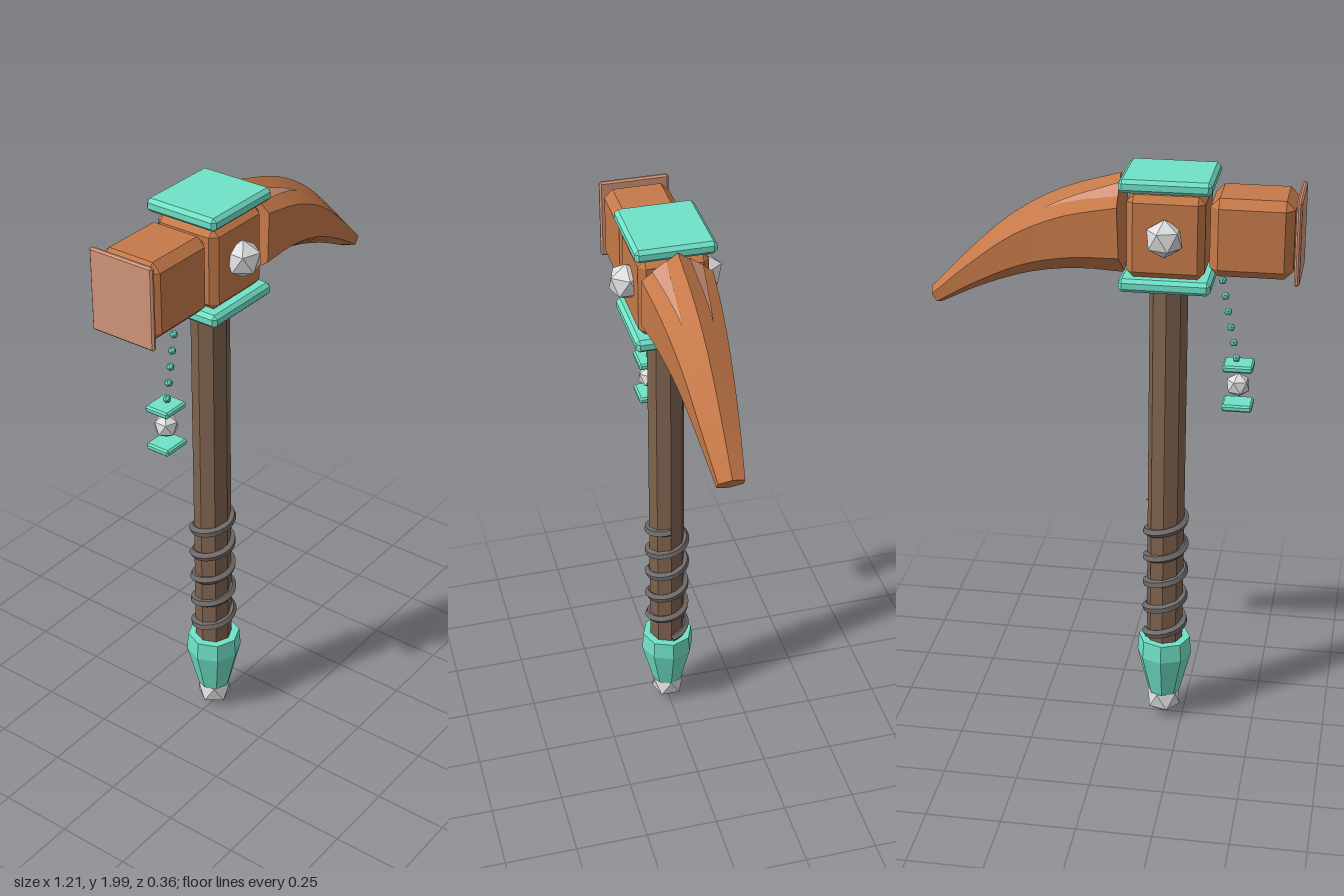
import * as THREE from 'three';
import { toCreasedNormals } from 'three/addons/utils/BufferGeometryUtils.js';
import { ConvexGeometry } from 'three/addons/geometries/ConvexGeometry.js';

const mat = (name, color, flat = true) => {
  const m = new THREE.MeshStandardMaterial({ color, flatShading: flat });
  m.name = name;
  return m;
};

// Box with every edge chamfered by c
function chamferBox(w, h, d, c) {
  const pts = [];
  for (const sx of [-1, 1]) for (const sy of [-1, 1]) for (const sz of [-1, 1]) {
    const x = w / 2, y = h / 2, z = d / 2;
    pts.push(new THREE.Vector3(sx * x, sy * (y - c), sz * (z - c)));
    pts.push(new THREE.Vector3(sx * (x - c), sy * y, sz * (z - c)));
    pts.push(new THREE.Vector3(sx * (x - c), sy * (y - c), sz * z));
  }
  return new ConvexGeometry(pts);
}

// Icosahedron standing on one of its points
const gemGeometry = r => new THREE.IcosahedronGeometry(r, 0).rotateZ(-Math.atan(2 / (1 + Math.sqrt(5))));

function indexed(pos, idx) {
  const g = new THREE.BufferGeometry();
  g.setAttribute('position', new THREE.Float32BufferAttribute(pos, 3));
  g.setIndex(idx);
  g.computeVertexNormals();
  return g;
}

// Upper and lower outline of the curved spike
const curve = a => new THREE.CatmullRomCurve3(a.map(p => new THREE.Vector3(p[0], p[1], 0)));
const spikeTop = curve([[-0.025, 1.987], [0.16, 1.93], [0.325, 1.838], [0.484, 1.697], [0.605, 1.571]]);
const spikeLow = curve([[-0.038, 1.655], [0.114, 1.66], [0.27, 1.64], [0.43, 1.587], [0.572, 1.52]]);

// Point on the spike: u along it, t from top to bottom, s times the half width
function spikePoint(u, t, s) {
  const p = spikeTop.getPoint(u).lerp(spikeLow.getPoint(u), t);
  p.z = s * THREE.MathUtils.lerp(0.115, 0.042, u);
  return p;
}

// Hexagonal sections joined along the spike, with end caps
function spikeGeometry() {
  const n = 12, pos = [], idx = [];
  for (let i = 0; i <= n; i++)
    for (const [t, s] of [[0, 0], [0.25, 1], [0.75, 1], [1, 0], [0.75, -1], [0.25, -1]])
      pos.push(...spikePoint(i / n, t, s).toArray());
  for (let i = 0; i < n; i++) for (let j = 0; j < 6; j++) {
    const a = i * 6 + j, b = i * 6 + (j + 1) % 6;
    idx.push(a, b, a + 6, b, b + 6, a + 6);
  }
  const e = n * 6;
  for (let j = 1; j < 5; j++) {
    idx.push(0, j + 1, j);
    idx.push(e, e + j, e + j + 1);
  }
  return toCreasedNormals(indexed(pos, idx), 0.4);
}

// Worn pale streak on an upper face of the spike, tapering from the root
function streakGeometry(side) {
  const n = 4, pos = [], idx = [];
  for (let i = 0; i <= n; i++) {
    const k = i / n;
    for (const f of [THREE.MathUtils.lerp(0.3, 0.5, k), THREE.MathUtils.lerp(0.7, 0.52, k)]) {
      const p = spikePoint(k * n / 12, f * 0.25, side * f);
      pos.push(p.x + 0.001, p.y + 0.003, p.z + side * 0.002);
    }
    if (i < n) {
      const a = i * 2;
      if (side > 0) idx.push(a, a + 1, a + 2, a + 1, a + 3, a + 2);
      else idx.push(a, a + 2, a + 1, a + 1, a + 2, a + 3);
    }
  }
  return indexed(pos, idx);
}

export function createModel() {
  const copper = mat('copper', 0xc67949);
  const copperSmooth = copper.clone();
  copperSmooth.flatShading = false;
  const paleCopper = mat('pale copper', 0xd2967a);
  const teal = mat('teal', 0x70e2c8);
  const wood = mat('dark wood', 0x7e624e);
  const wire = mat('dark wire', 0x6e6a69);
  const silver = mat('silver', 0xdedede);

  const model = new THREE.Group();
  model.name = 'hammerPick';
  const add = (name, geo, material, x, y, z = 0) => {
    const m = new THREE.Mesh(geo, material);
    m.name = name;
    m.position.set(x, y, z);
    model.add(m);
    return m;
  };
  const cx = -0.182;

  // Handle
  add('shaft', new THREE.CylinderGeometry(0.063, 0.063, 1.4, 8), wood, cx, 0.95);

  // Spiral grip wire
  const helix = [];
  const turns = 5, steps = 80;
  for (let i = 0; i <= steps; i++) {
    const t = i / steps, a = Math.PI / 2 + t * turns * Math.PI * 2;
    helix.push(new THREE.Vector3(Math.sin(a) * 0.065, 0.333 + 0.493 * t, Math.cos(a) * 0.065));
  }
  add('gripWire', new THREE.TubeGeometry(new THREE.CatmullRomCurve3(helix), 120, 0.015, 5), wire, cx, 0);

  // Tapered cuff and pommel
  const cuff = [[0, 0.1], [0.056, 0.1], [0.095, 0.255], [0.09, 0.318], [0, 0.318]];
  add('cuff', new THREE.LatheGeometry(cuff.map(p => new THREE.Vector2(...p)), 8), teal, cx, 0);
  add('pommelGem', gemGeometry(0.064), silver, cx, 0.07);

  // Head block between two plates
  add('headBlock', chamferBox(0.25, 0.27, 0.23, 0.022), copper, cx, 1.81);
  for (const [name, y] of [['lowerPlate', 1.653], ['upperPlate', 1.978]])
    add(name, chamferBox(0.295, 0.044, 0.264, 0.012), teal, cx, y);
  for (const s of [-1, 1])
    add(s > 0 ? 'frontGem' : 'backGem', gemGeometry(0.063), silver, cx, 1.816, s * 0.128);

  // Hammer end
  add('hammerBlock', chamferBox(0.265, 0.255, 0.22, 0.028), copper, -0.453, 1.815);
  add('hammerFace', chamferBox(0.018, 0.275, 0.236, 0.006), paleCopper, -0.599, 1.815);

  // Curved pick with worn streaks
  add('pickSpike', spikeGeometry(), copperSmooth, 0, 0);
  for (const s of [-1, 1]) add('wornStreak', streakGeometry(s), paleCopper, 0, 0);

  // Hanging charm
  for (let i = 0; i < 6; i++)
    add('chainBead', new THREE.IcosahedronGeometry(0.014, 0), teal, -0.356 - 0.0103 * i, 1.645 - 0.053 * i);
  for (const y of [1.355, 1.217])
    add('charmPlate', chamferBox(0.1, 0.023, 0.09, 0.006), teal, -0.415, y);
  add('charmGem', gemGeometry(0.042), silver, -0.415, 1.286);

  return model;
}
